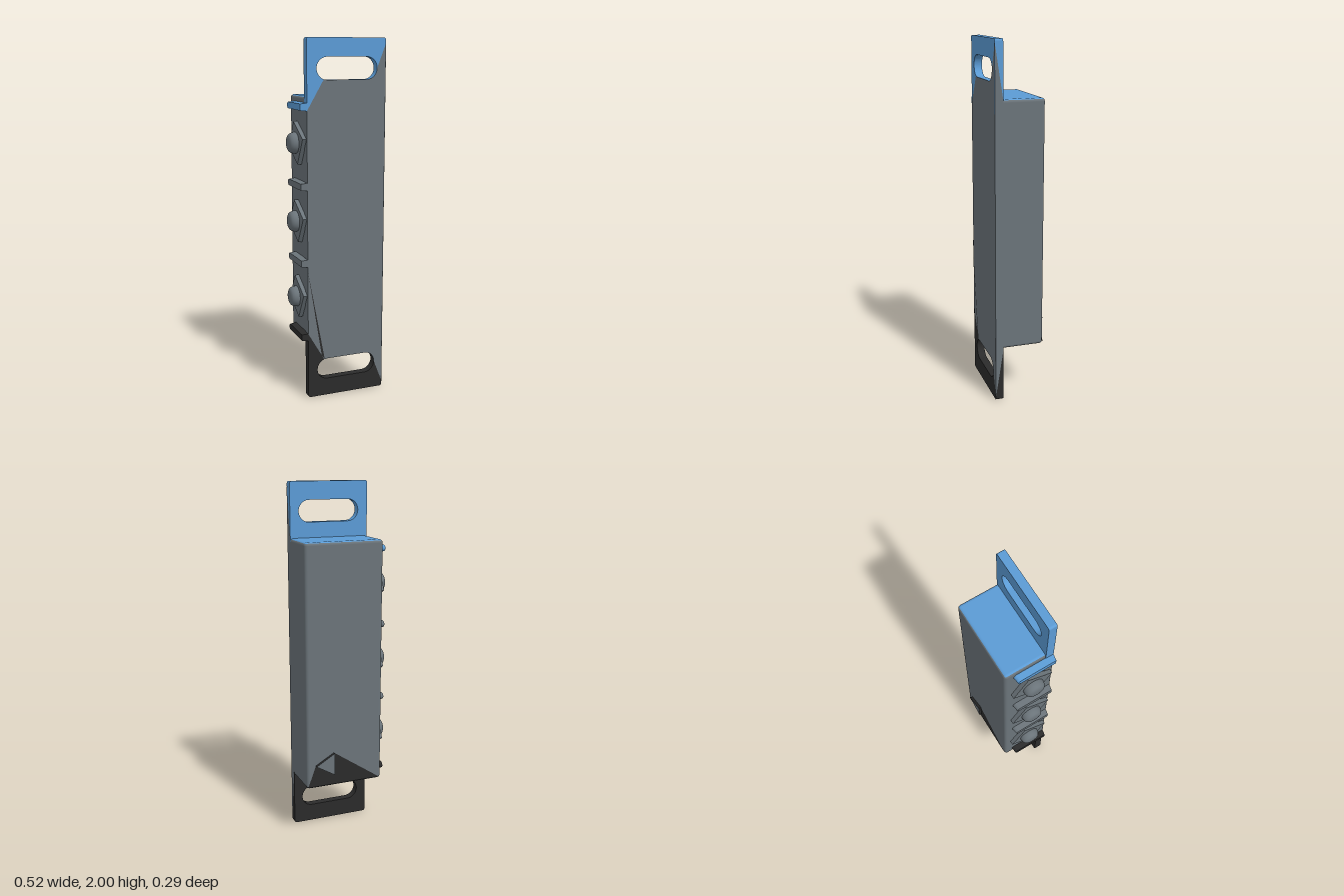
import * as THREE from 'three';
import { RoundedBoxGeometry } from 'three/addons/geometries/RoundedBoxGeometry.js';

const mat = (color) => new THREE.MeshStandardMaterial({ color, side: THREE.DoubleSide });
const grey = mat(0x6b747a), blue = mat(0x5b9bd5), black = mat(0x2b2b2b);

const X0 = -0.195, X1 = 0.26, Z0 = 0.1, Z1 = 0.145;
const SLOT = { left: -0.08, right: 0.15, r: 0.06 };

function polygon(points) {
  return new THREE.Shape(points.map(([x, y]) => new THREE.Vector2(x, y)));
}

export function createModel() {
  const model = new THREE.Group();
  const add = (name, geometry, material, x = 0, y = 0, z = 0) => {
    const mesh = new THREE.Mesh(geometry, material);
    mesh.name = name;
    mesh.position.set(x, y, z);
    model.add(mesh);
    return mesh;
  };

  // Main housing: blue top, black underside
  add('housing', new RoundedBoxGeometry(0.453, 1.385, 0.257, 4, 0.018),
    [grey, grey, blue, black, grey, grey], 0.0335, 1.0025, -0.0025);

  // Mounting tabs with rounded outer corners and a long slot
  const tabShape = (height) => {
    const c = 0.014, s = new THREE.Shape();
    s.moveTo(X0, 0);
    s.lineTo(X1, 0);
    s.lineTo(X1, height - c);
    s.quadraticCurveTo(X1, height, X1 - c, height);
    s.lineTo(X0 + c, height);
    s.quadraticCurveTo(X0, height, X0, height - c);
    const slot = new THREE.Path(), y = height - 0.16;
    slot.absarc(SLOT.right, y, SLOT.r, -Math.PI / 2, Math.PI / 2, false);
    slot.absarc(SLOT.left, y, SLOT.r, Math.PI / 2, Math.PI * 1.5, false);
    slot.closePath();
    s.holes.push(slot);
    return s;
  };
  const extrude = (shape, depth) =>
    new THREE.ExtrudeGeometry(shape, { depth, bevelEnabled: false, curveSegments: 16 });
  add('topMountingTab', extrude(tabShape(0.38), Z1 - Z0), blue, 0, 1.62, Z0);
  const lower = extrude(tabShape(0.38), Z1 - Z0);
  lower.rotateX(Math.PI).translate(0, 0, Z1 - Z0);
  add('bottomMountingTab', lower, black, 0, 0.38, Z0);
  add('backplate', new THREE.BoxGeometry(X1 - X0, 1.24, Z1 - Z0), grey,
    (X0 + X1) / 2, 1, (Z0 + Z1) / 2);

  // Grey facing across the front, following the slot edges
  const facing = new THREE.Shape();
  facing.moveTo(X0, 1.62);
  facing.lineTo(-0.1, 1.783);
  facing.lineTo(SLOT.left, 1.78);
  facing.absarc(SLOT.right, 1.84, SLOT.r, -Math.PI / 2, 0, false);
  facing.lineTo(X1, 1.97);
  facing.lineTo(X1, 0.03);
  facing.absarc(SLOT.right, 0.16, SLOT.r, 0, Math.PI / 2, false);
  facing.lineTo(SLOT.left, 0.22);
  facing.lineTo(-0.1, 0.217);
  facing.lineTo(X0, 0.38);
  add('frontFacing', new THREE.ShapeGeometry(facing), grey, 0, 0, Z1 + 0.001);
  add('frontStripe', new THREE.ShapeGeometry(
    polygon([[X0, 0.74], [-0.115, 0.24], [-0.098, 0.222]])), black, 0, 0, Z1 + 0.002);

  // Grey facing on the long edge of the plate
  const edge = new THREE.ShapeGeometry(polygon([[-Z1, 0.02], [-Z0, 0.31], [-Z0, 1.69], [-Z1, 1.98]]));
  edge.rotateY(Math.PI / 2);
  add('edgeFacing', edge, grey, X1 + 0.001, 0, 0);

  // Raised triangular marker and the dark area under it, on the back
  const marker = polygon([[0.1, 0.38], [0.21, 0.445], [0.1, 0.51]]);
  add('marker', extrude(marker, 0.018), [grey, black], 0, 0, -0.147);
  add('darkBackArea', new THREE.ShapeGeometry(polygon(
    [[0.255, 0.32], [0.21, 0.445], [0.1, 0.51], [-0.18, 0.32]])), black, 0, 0, -0.132);

  // Tapered divider ribs with a rounded rear end
  const h = 0.022, rib = new THREE.Shape();
  rib.moveTo(-0.145, -h);
  rib.lineTo(0.061, -h);
  rib.absarc(0.061, 0, h, -Math.PI / 2, Math.PI / 2, false);
  rib.lineTo(-0.145, h);
  rib.closePath();
  const ribGeometry = extrude(rib, 0.04);
  const p = ribGeometry.attributes.position;
  for (let i = 0; i < p.count; i++) {
    if (p.getZ(i) > 0.02) p.setXY(i, -0.031 + (p.getX(i) + 0.031) * 0.945, p.getY(i) * 0.8);
  }
  ribGeometry.rotateY(-Math.PI / 2);
  ribGeometry.scale(1, 1, 1).computeVertexNormals();
  [1.64, 1.213, 0.787, 0.36].forEach((y, i) => {
    const m = i === 0 ? blue : i === 3 ? black : grey;
    const mesh = add('dividerRib', ribGeometry, m, -0.19, y, 0);
    // shape x runs towards -z after the turn, so flip it to face the rear
    mesh.scale.z = ribGeometry.boundingBox ? 1 : ribFlip(ribGeometry);
  });

  // Terminal clamps: tilted square plate and domed screw head
  const dome = new THREE.LatheGeometry([
    [0.058, 0], [0.058, 0.014], [0.055, 0.028], [0.048, 0.039],
    [0.038, 0.045], [0.024, 0.048], [0, 0.049],
  ].map(([r, y]) => new THREE.Vector2(r, y)), 32);
  dome.rotateZ(Math.PI / 2);
  for (const y of [1.44, 1.005, 0.57]) {
    const plate = add('clampPlate', new THREE.BoxGeometry(0.026, 0.168, 0.168), grey, -0.204, y, 0.02);
    plate.rotation.x = Math.PI / 4 - 0.25;
    add('screwHead', dome, grey, -0.214, y, 0.02);
  }
  return model;
}

// Returns the z sign that puts the longer reach of a rib at the front (+z)
function ribFlip(geometry) {
  geometry.computeBoundingBox();
  const { min, max } = geometry.boundingBox;
  const sign = max.z > -min.z ? 1 : -1;
  if (sign < 0) geometry.scale(1, 1, -1);
  return 1;
}
